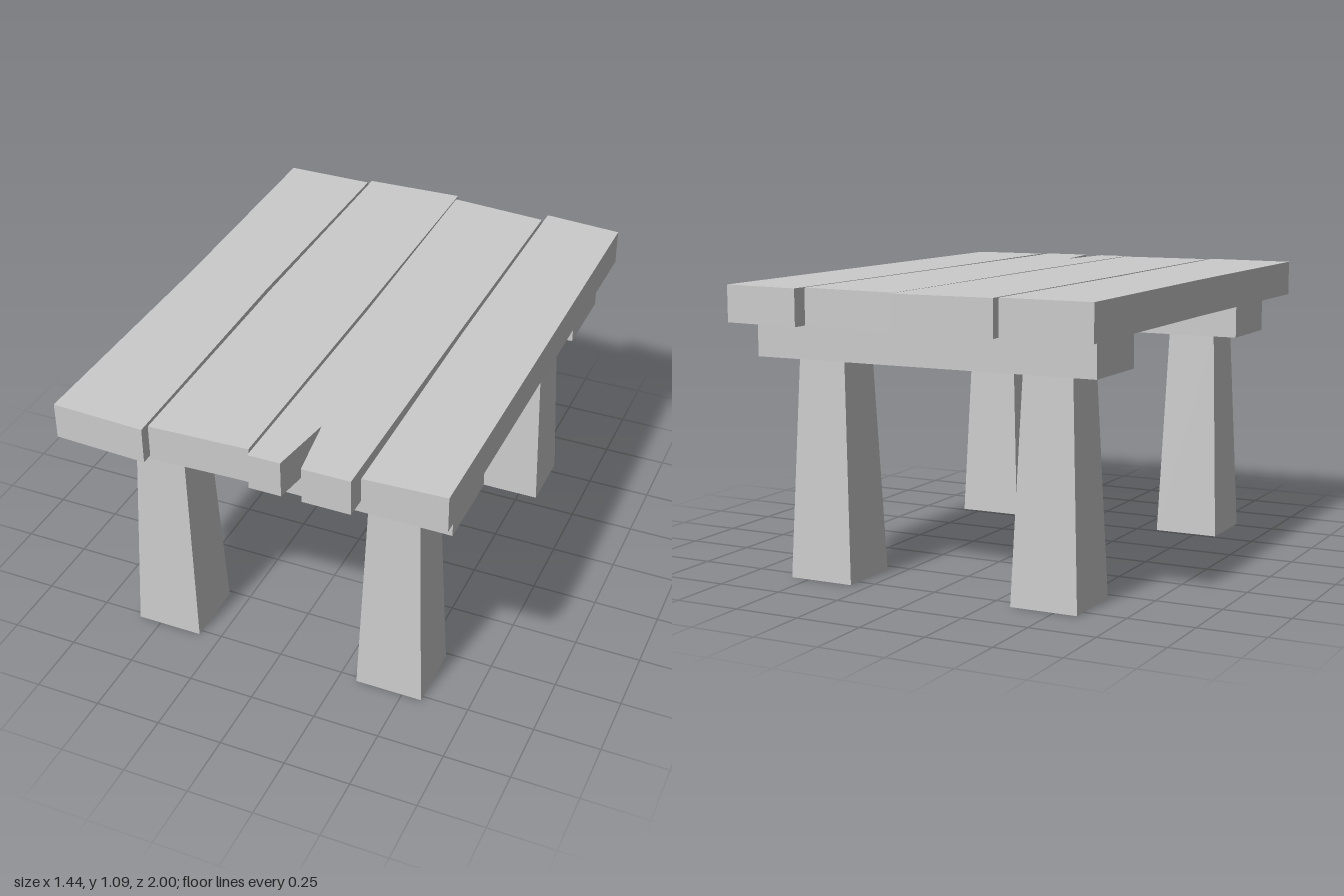
import * as THREE from 'three';

export function createModel() {
  const group = new THREE.Group();
  const material = new THREE.MeshStandardMaterial({ color: 0xcccccc, flatShading: true });

  const add = (name, geometry, x, y, z) => {
    const mesh = new THREE.Mesh(geometry, material);
    mesh.name = name;
    mesh.position.set(x, y, z);
    group.add(mesh);
  };

  const legTop = 0.82, plankBottom = 0.955, plankTop = 1.09;

  // Tabletop planks: hand-cut outlines as [x, z], extruded upwards
  const planks = [
    [[-0.72, -0.965], [-0.375, -0.965], [-0.385, 0], [-0.37, 0.997], [-0.72, 0.982], [-0.71, 0]],
    [[-0.365, -0.985], [0.017, -1], [0.015, 0], [0.01, 0.955], [-0.36, 0.97], [-0.37, 0]],
    // this one has a split in its front end
    [[0.02, -0.97], [0.402, -0.94], [0.395, 0], [0.393, 0.985], [0.215, 0.985],
      [0.178, 0.735], [0.14, 0.985], [0.02, 0.985], [0.027, 0]],
    [[0.412, -0.988], [0.716, -0.962], [0.716, 0.942], [0.417, 0.957], [0.408, 0]],
  ];
  planks.forEach((outline, i) => {
    const shape = new THREE.Shape(outline.map(([x, z]) => new THREE.Vector2(x, -z)));
    const geometry = new THREE.ExtrudeGeometry(shape, { depth: plankTop - plankBottom, bevelEnabled: false });
    geometry.rotateX(-Math.PI / 2);
    add(`plank${i + 1}`, geometry, 0, plankBottom, 0);
  });

  // Cross beams under the planks, each on two tapered square legs
  const ends = [
    { name: 'front', beamZ: 0.645, legZ: 0.643 },
    { name: 'back', beamZ: -0.678, legZ: -0.675 },
  ];
  for (const { name, beamZ, legZ } of ends) {
    const height = plankBottom - legTop;
    add(`${name}Beam`, new THREE.BoxGeometry(1.35, height, 0.306), 0.006, legTop + height / 2, beamZ);

    for (const [side, x] of [['Right', -0.46], ['Left', 0.447]]) {
      const leg = new THREE.CylinderGeometry(0.095 * Math.SQRT2, 0.128 * Math.SQRT2, legTop, 4);
      leg.rotateY(Math.PI / 4);
      add(`${name}${side}Leg`, leg, x, legTop / 2, legZ);
    }
  }

  return group;
}
